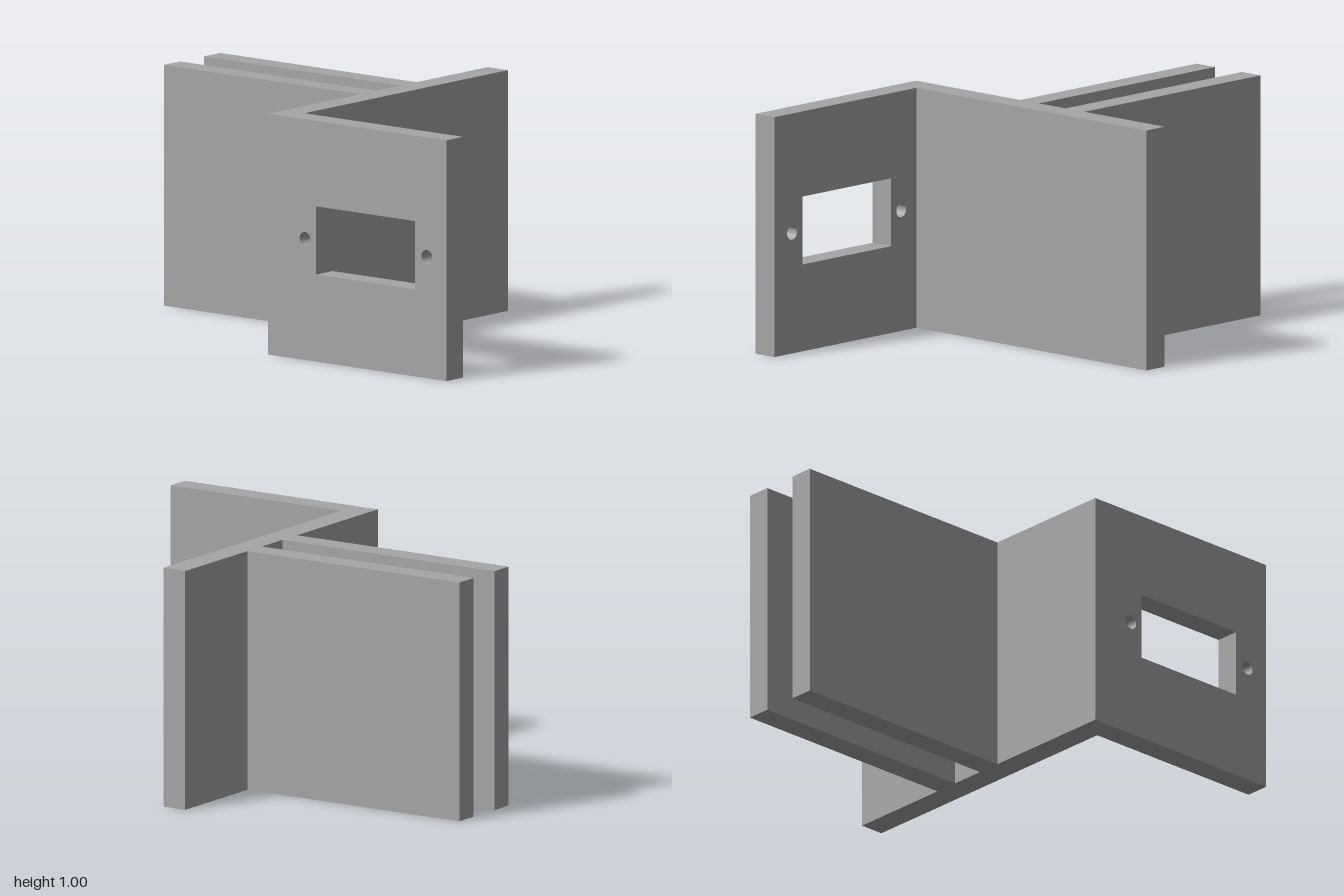
import * as THREE from 'three';

const HEIGHT = 1;
const SPINE_LEFT = 0.047, SPINE_RIGHT = 0.155; // x range of the upright wall
const FRONT = 0.7, PLATE_BACK = 0.595;         // z range of the front plate

export function createModel() {
  const group = new THREE.Group();
  group.name = 'mountingBracket';
  const grey = new THREE.MeshStandardMaterial({ color: 0xa6a6a6 });
  grey.name = 'grey';

  const add = (name, geometry) => {
    const mesh = new THREE.Mesh(geometry, grey);
    mesh.name = name;
    group.add(mesh);
    return mesh;
  };
  const slab = (name, x0, x1, z0, z1) => {
    const mesh = add(name, new THREE.BoxGeometry(x1 - x0, HEIGHT, z1 - z0));
    mesh.position.set((x0 + x1) / 2, HEIGHT / 2, (z0 + z1) / 2);
  };

  // Upright wall running front to back
  slab('spineWall', SPINE_LEFT, SPINE_RIGHT, -FRONT, FRONT);

  // Two parallel fins forming a slot
  slab('rearFin', -1, SPINE_LEFT, -0.247, -0.143);
  slab('frontFin', -1, SPINE_LEFT, 0.008, 0.112);

  // Front plate with a rectangular window and two screw holes
  const plate = new THREE.Shape([
    [SPINE_RIGHT, 0], [1, 0], [1, HEIGHT], [SPINE_RIGHT, HEIGHT],
  ].map(([x, y]) => new THREE.Vector2(x, y)));
  plate.holes.push(new THREE.Path([
    [0.305, 0.362], [0.305, 0.645], [0.833, 0.645], [0.833, 0.362],
  ].map(([x, y]) => new THREE.Vector2(x, y))));
  for (const x of [0.246, 0.895]) {
    plate.holes.push(new THREE.Path().absarc(x, 0.503, 0.029, 0, Math.PI * 2, true));
  }
  const plateGeometry = new THREE.ExtrudeGeometry(plate, {
    depth: FRONT - PLATE_BACK, bevelEnabled: false, curveSegments: 32,
  });
  add('frontPlate', plateGeometry).position.z = PLATE_BACK;

  return group;
}
